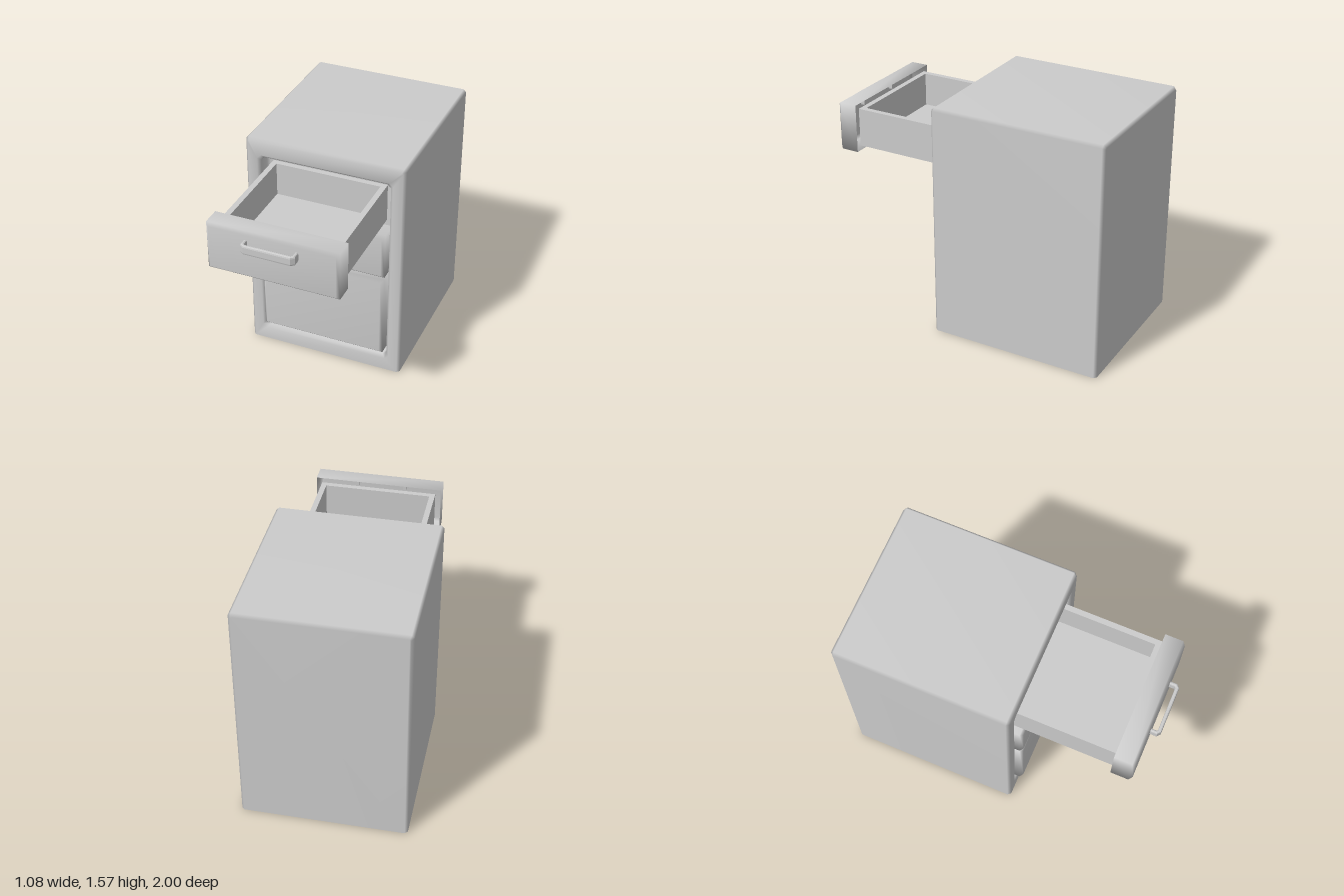
import * as THREE from 'three';
import { mergeVertices } from 'three/addons/utils/BufferGeometryUtils.js';

const grey = new THREE.MeshStandardMaterial({ color: 0xcccccc, side: THREE.DoubleSide });

// Rectangle with cut corners, counter-clockwise seen from the front
function ring(x, y0, y1, z, top = 0, bottom = 0) {
  return [
    [-x + bottom, y0, z], [x - bottom, y0, z], [x, y0 + bottom, z], [x, y1 - top, z],
    [x - top, y1, z], [-x + top, y1, z], [-x, y1 - top, z], [-x, y0 + bottom, z],
  ];
}

// Skin rings from back to front; openBelow = number of strips left without a bottom face
function loft(rings, { backCap = false, frontCap = true, openBelow = 0 } = {}) {
  const n = 8, index = [];
  for (let r = 0; r < rings.length - 1; r++) {
    for (let i = 0; i < n; i++) {
      if (i === 0 && r < openBelow) continue;
      const a = r * n + i, b = r * n + (i + 1) % n;
      index.push(a, b, b + n, a, b + n, a + n);
    }
  }
  const last = (rings.length - 1) * n;
  for (let i = 1; i < n - 1; i++) {
    if (backCap) index.push(0, i + 1, i);
    if (frontCap) index.push(last, last + i, last + i + 1);
  }
  let geo = new THREE.BufferGeometry();
  geo.setAttribute('position', new THREE.Float32BufferAttribute(rings.flat(2), 3));
  geo.setIndex(index);
  geo = mergeVertices(geo);
  geo.computeVertexNormals();
  return geo;
}

function add(parent, name, geo, x = 0, y = 0, z = 0) {
  const mesh = new THREE.Mesh(geo, grey);
  mesh.name = name;
  mesh.position.set(x, y, z);
  parent.add(mesh);
  return mesh;
}

// Bracket-shaped pull, its feet at z = 0 and its centre at y = 0
function handleGeometry() {
  const outline = [
    [-0.175, -0.03], [-0.175, 0.045], [-0.152, 0.064], [0.152, 0.064], [0.175, 0.045], [0.175, -0.03],
    [0.153, -0.03], [0.153, 0.034], [0.145, 0.04], [-0.145, 0.04], [-0.153, 0.034], [-0.153, -0.03],
  ];
  const shape = new THREE.Shape(outline.map(([x, z]) => new THREE.Vector2(x, z)));
  const geo = new THREE.ExtrudeGeometry(shape, {
    depth: 0.038, bevelThickness: 0.012, bevelSize: 0.008, bevelOffset: -0.008, bevelSegments: 2,
  });
  geo.translate(0, 0, -0.019);
  return geo.rotateX(Math.PI / 2);
}

// Hollow drawer front, open at the back, with its handle
function drawerFront(name, y0, y1, handleY, z) {
  const drawer = new THREE.Group();
  drawer.name = name;
  const w = 0.428, b = 0.02;
  add(drawer, 'drawerFront', loft([
    ring(w, y0, y1, z - 0.138),
    ring(w, y0, y1, z - b),
    ring(w - b, y0 + b, y1 - b, z),
  ]));
  add(drawer, 'handle', handleGeometry(), 0, handleY, z);
  return drawer;
}

export function createModel() {
  const model = new THREE.Group();
  model.name = 'drawerCabinet';

  // Shell with an open underside, a bevelled front frame and a shallow recess
  add(model, 'cabinetBody', loft([
    ring(0.522, 0, 1.553, -1, 0.008),
    ring(0.54, 0, 1.572, -0.982, 0.018),
    ring(0.54, 0, 1.572, 0.147, 0.018),
    ring(0.522, 0, 1.553, 0.167, 0.008),
    ring(0.46, 0.09, 1.462, 0.167, 0.025, 0.025),
    ring(0.44, 0.11, 1.442, 0.147, 0.025, 0.025),
    ring(0.44, 0.11, 1.442, 0.065, 0.025, 0.025),
  ], { backCap: true, openBelow: 3 }));

  // Closed drawers
  model.add(drawerFront('bottomDrawer', 0.16, 0.752, 0.671, 0.21));
  model.add(drawerFront('middleDrawer', 0.769, 1.092, 1.005, 0.21));

  // Pulled-out top drawer with its tray
  const top = drawerFront('topDrawer', 1.097, 1.42, 1.339, 0.936);
  model.add(top);
  const back = 0.07, front = 0.8, t = 0.036, y0 = 1.13, y1 = 1.386;
  const length = front - back, height = y1 - y0, midY = (y0 + y1) / 2, midZ = (front + back) / 2;
  add(top, 'trayFloor', new THREE.BoxGeometry(0.78, 0.03, length), 0, y0 + 0.015, midZ);
  for (const side of [-1, 1]) {
    add(top, 'traySide', new THREE.BoxGeometry(t, height, length), side * (0.39 - t / 2), midY, midZ);
  }
  for (const z of [back + t / 2, front - t / 2]) {
    add(top, 'trayEnd', new THREE.BoxGeometry(0.78 - 2 * t, height, t), 0, midY, z);
  }
  return model;
}
